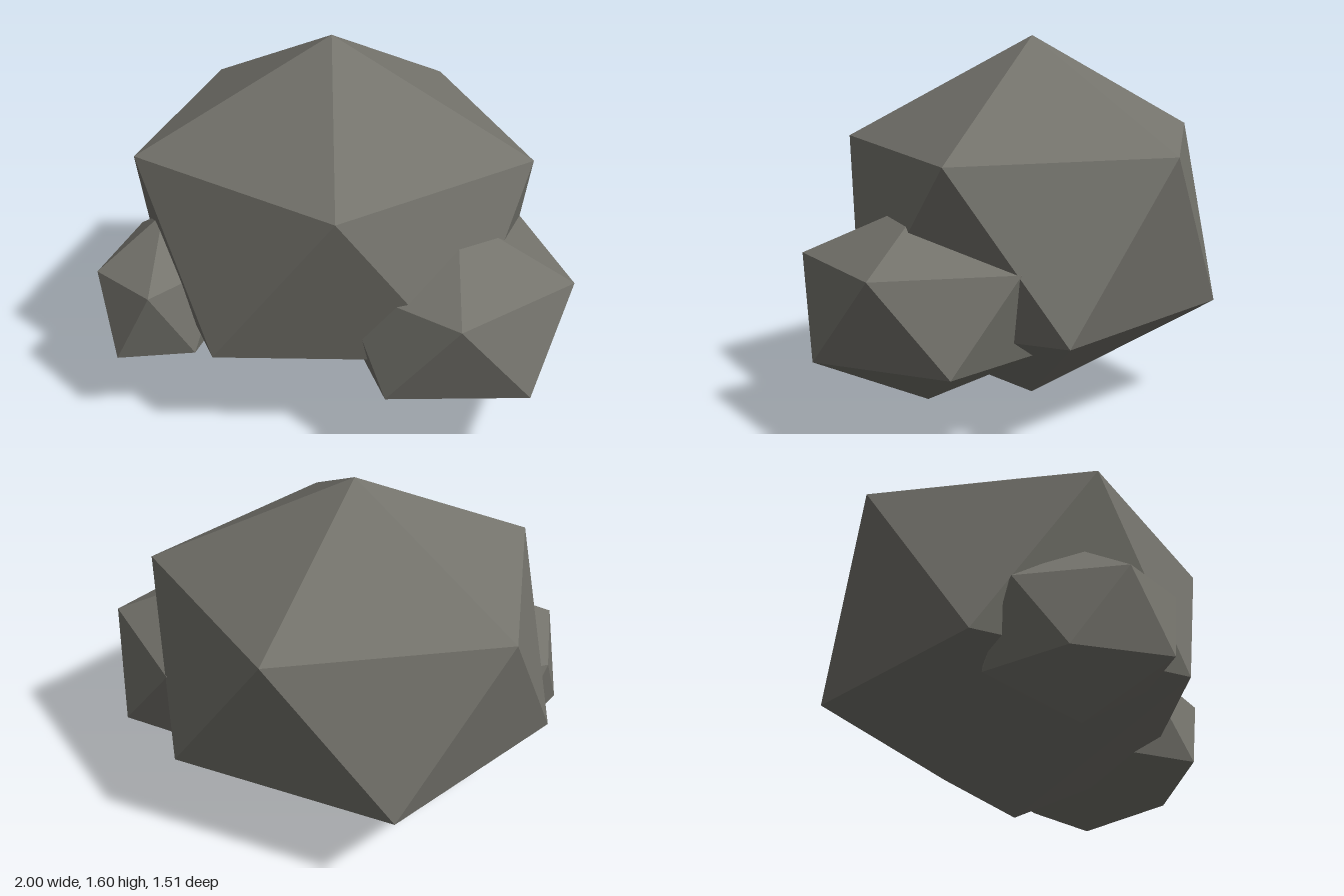
import * as THREE from 'three';

// Unit icosahedron standing on one point: two poles and two staggered rings of five
function unitBoulder() {
  const h = 1 / Math.sqrt(5), r = 2 / Math.sqrt(5);
  const ring = (k, y, turn) => {
    const a = (k + turn) * Math.PI * 2 / 5;
    return [r * Math.cos(a), y, r * Math.sin(a)];
  };
  const top = [0, 1, 0], bottom = [0, -1, 0], points = [];
  for (let k = 0; k < 5; k++) {
    const u0 = ring(k, h, 0), u1 = ring(k + 1, h, 0);
    const l0 = ring(k, -h, 0.5), l1 = ring(k + 1, -h, 0.5);
    points.push(top, u1, u0, u0, u1, l0, l0, u1, l1, bottom, l0, l1);
  }
  const geometry = new THREE.BufferGeometry();
  geometry.setAttribute('position', new THREE.Float32BufferAttribute(points.flat(), 3));
  return geometry;
}

export function createModel() {
  const group = new THREE.Group();
  group.name = 'rockCluster';
  const stone = new THREE.MeshStandardMaterial({ color: 0x74736c, flatShading: true });
  stone.name = 'stone grey';

  // Each rock is the same boulder stretched to its own radii
  const addRock = (name, centre, radii) => {
    const geometry = unitBoulder().scale(...radii);
    geometry.computeVertexNormals();
    const rock = new THREE.Mesh(geometry, stone);
    rock.name = name;
    rock.position.set(...centre);
    group.add(rock);
  };

  addRock('mainRock', [-0.102, 0.798, 0], [0.968, 0.798, 0.888]);
  addRock('leftRock', [0.505, 0.547, 0.207], [0.553, 0.424, 0.582]);
  addRock('rightRock', [-0.735, 0.49, 0.375], [0.296, 0.36, 0.422]);
  return group;
}
